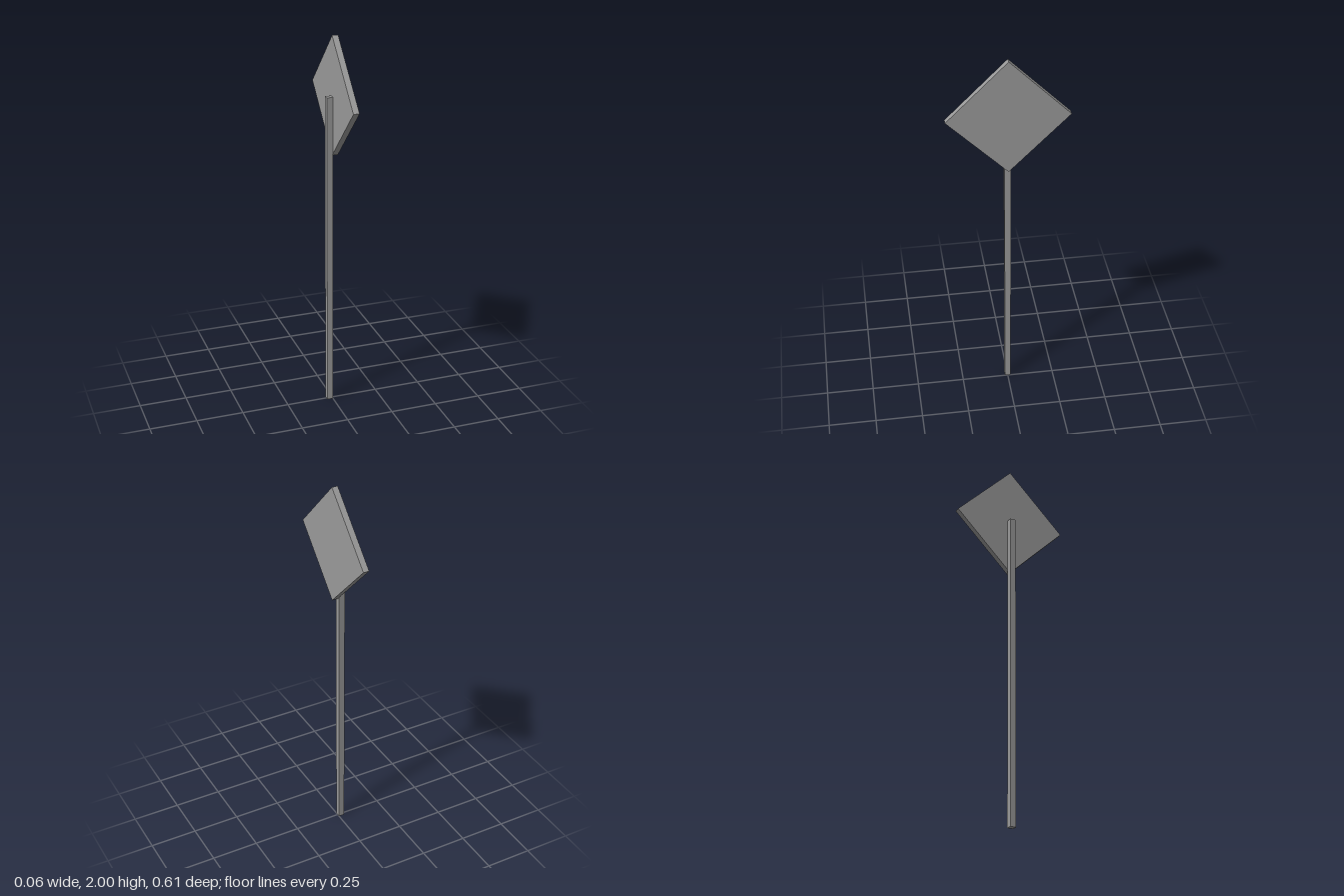
import * as THREE from 'three';

export function createModel() {
  const model = new THREE.Group();
  const material = new THREE.MeshStandardMaterial({ color: 0x9a9a9a, flatShading: true });

  function addBox(name, width, height, depth, x, y) {
    const mesh = new THREE.Mesh(new THREE.BoxGeometry(width, height, depth), material);
    mesh.name = name;
    mesh.position.set(x, y, 0);
    model.add(mesh);
    return mesh;
  }

  const thickness = 0.031;
  const halfDiagonal = 0.307;
  const side = halfDiagonal * Math.SQRT2;
  const panelY = 2 - halfDiagonal;

  // Square post, ending behind the middle of the panel
  addBox('post', 0.032, panelY, 0.032, -0.016, panelY / 2);

  // Square sign panel standing on its corner, against the post's left face
  const panel = addBox('signPanel', thickness, side, side, thickness / 2, panelY);
  panel.rotation.x = Math.PI / 4;

  return model;
}
